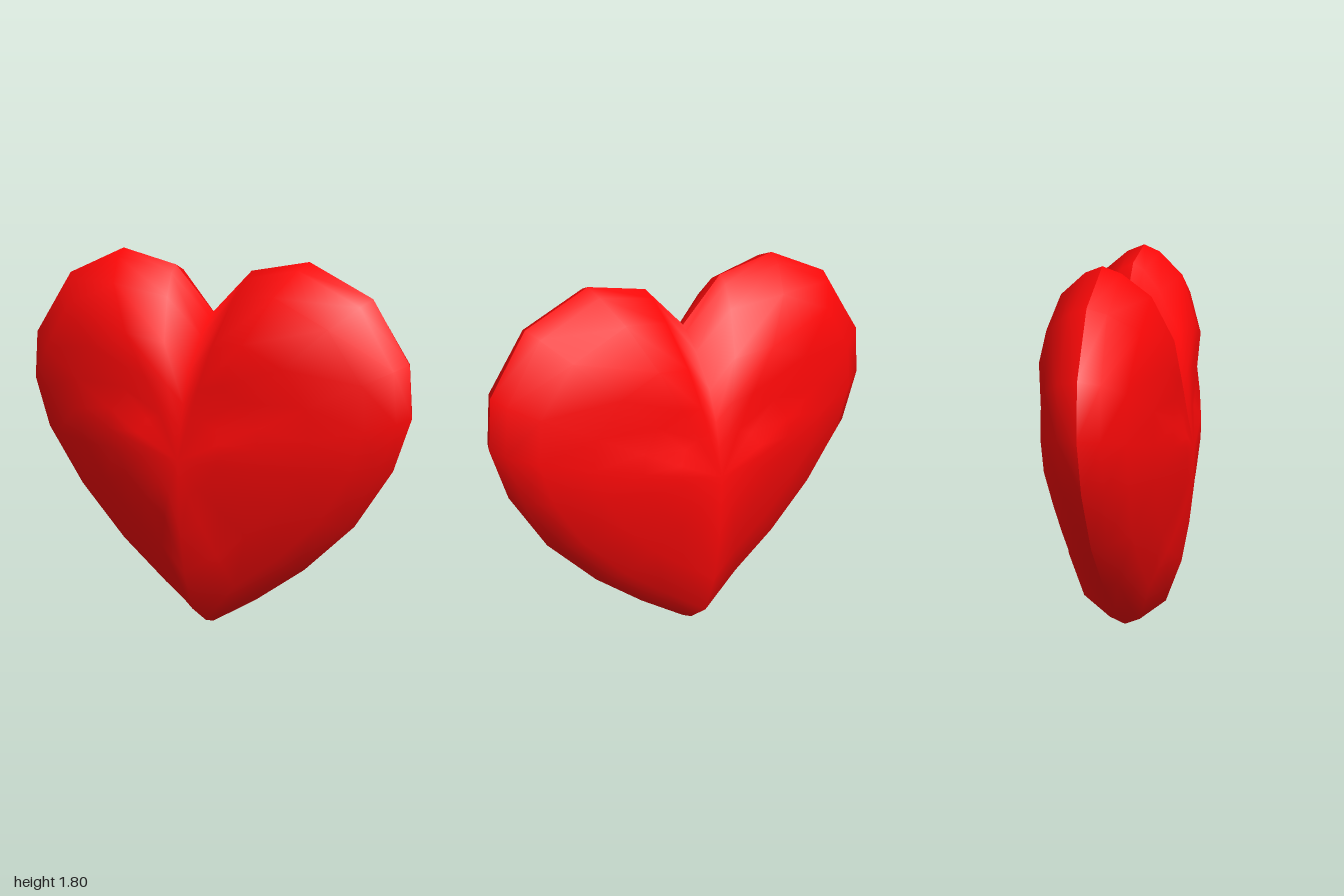
import * as THREE from 'three';

// Scales of the rings shrinking from the rim towards the middle
const scales = [1, 0.965, 0.85, 0.62, 0.4, 0.22];

// Depth of each ring along the different parts of the heart
const tip = [0, 0.075, 0.203, 0.278, 0.314, 0.325];
const flank = [0, 0.065, 0.158, 0.238, 0.296, 0.33];
const side = [0, 0.09, 0.175, 0.25, 0.3, 0.333];
const lobe = [0, 0.08, 0.202, 0.285, 0.293, 0.305];
const inner = [0, 0.055, 0.135, 0.24, 0.285, 0.305];
const notch = [0, 0.03, 0.11, 0.225, 0.28, 0.305];

// Right half of the rim, from the bottom tip up to the notch
const half = [
  [0, 0, tip], [0.24, 0.16, flank], [0.49, 0.355, flank], [0.74, 0.61, flank],
  [0.92, 0.9, side], [1, 1.15, side], [0.98, 1.39, side], [0.8, 1.665, lobe],
  [0.49, 1.805, lobe], [0.2, 1.745, inner], [0, 1.54, notch],
];
const outline = [...half, ...half.slice(1, -1).reverse().map(([x, y, depth]) => [-x, y, depth])];
const CENTRE_Y = 0.9, CENTRE_Z = 0.333;

// One domed side of the heart, ring by ring, closed with a fan in the middle
function heartSide() {
  const n = outline.length, pos = [], index = [];
  scales.forEach((s, r) => {
    for (const [x, y, depth] of outline) pos.push(x * s, CENTRE_Y + (y - CENTRE_Y) * s, depth[r]);
  });
  const centre = pos.length / 3;
  pos.push(0, CENTRE_Y, CENTRE_Z);
  for (let r = 0; r < scales.length; r++) {
    for (let i = 0; i < n; i++) {
      const j = (i + 1) % n, a = r * n + i, b = r * n + j;
      if (r === scales.length - 1) index.push(a, b, centre);
      // mirrored diagonals keep both halves alike
      else if (i < n / 2) index.push(a, b, b + n, a, b + n, a + n);
      else index.push(a, b, a + n, b, b + n, a + n);
    }
  }
  const geo = new THREE.BufferGeometry();
  geo.setAttribute('position', new THREE.Float32BufferAttribute(pos, 3));
  geo.setIndex(index);
  geo.computeVertexNormals();
  return geo;
}

export function createModel() {
  const group = new THREE.Group();
  group.name = 'heart';
  const red = new THREE.MeshStandardMaterial({ color: 0xff0808 });
  const geo = heartSide();

  // The back is the front turned half a circle; they meet at the rim
  for (const [name, turn] of [['heartFront', 0], ['heartBack', Math.PI]]) {
    const mesh = new THREE.Mesh(geo, red);
    mesh.name = name;
    mesh.rotation.y = turn + 0.075; // the heart stands slightly turned
    group.add(mesh);
  }
  return group;
}
